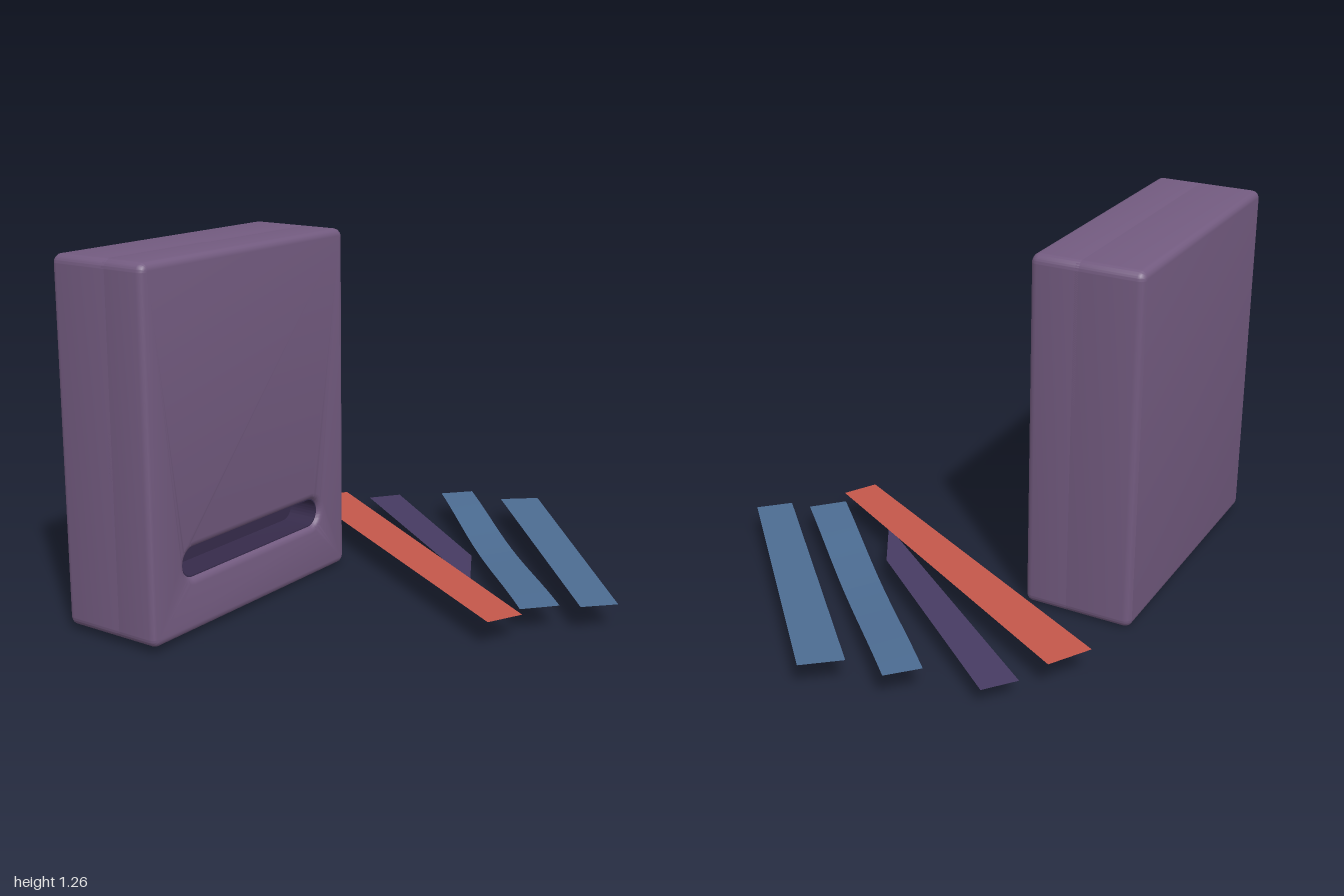
import * as THREE from 'three';
import { toCreasedNormals } from 'three/addons/utils/BufferGeometryUtils.js';

const mat = (name, color, side = THREE.FrontSide) => {
  const m = new THREE.MeshStandardMaterial({ color, side });
  m.name = name;
  return m;
};

// Rounded rectangle outline centred on (x, y); also gives the slot's stadium shape
function roundRect(Type, w, h, r, x = 0, y = 0) {
  const p = new Type();
  const a = w / 2 - r, b = h / 2 - r;
  p.absarc(x + a, y + b, r, 0, Math.PI / 2);
  p.absarc(x - a, y + b, r, Math.PI / 2, Math.PI);
  p.absarc(x - a, y - b, r, Math.PI, Math.PI * 1.5);
  p.absarc(x + a, y - b, r, Math.PI * 1.5, Math.PI * 2);
  p.closePath();
  return p;
}

// Paper strip between a far and a near edge, with a height rule along its length
function strip(name, [farL, farR, nearR, nearL], height, material) {
  const rows = 16, pos = [], idx = [];
  for (let i = 0; i <= rows; i++) {
    const t = i / rows;
    for (const [a, b] of [[farL, nearL], [farR, nearR]]) {
      pos.push(a[0] + (b[0] - a[0]) * t, height(t), a[1] + (b[1] - a[1]) * t);
    }
    if (i < rows) {
      const k = i * 2;
      idx.push(k, k + 2, k + 1, k + 1, k + 2, k + 3);
    }
  }
  const g = new THREE.BufferGeometry();
  g.setAttribute('position', new THREE.Float32BufferAttribute(pos, 3));
  g.setIndex(idx);
  g.computeVertexNormals();
  const mesh = new THREE.Mesh(g, material);
  mesh.name = name;
  return mesh;
}

export function createModel() {
  const model = new THREE.Group();
  const purple = mat('casePurple', 0x735b80);
  const slotDark = mat('slotDark', 0x362b4b);
  const red = mat('stripRed', 0xc4574a, THREE.DoubleSide);
  const violet = mat('stripViolet', 0x473b62, THREE.DoubleSide);
  const blue = mat('stripBlue', 0x4c6c92, THREE.DoubleSide);

  // Upright case, turned and very slightly leaning
  const W = 1.03, H = 1.24, D = 0.385, B = 0.025;
  const box = new THREE.Group();
  box.name = 'case';
  box.position.set(-0.433, 0.637, -0.345);
  box.rotation.set(-0.012, 0.3, -0.015);
  model.add(box);

  const add = (name, shape, z0, z1, bevel, material) => {
    const g = new THREE.ExtrudeGeometry(shape, {
      depth: z1 - z0 - 2 * bevel, curveSegments: 10, bevelEnabled: bevel > 0,
      bevelThickness: bevel, bevelSize: bevel, bevelOffset: -bevel, bevelSegments: 4,
    });
    g.translate(0, 0, z0 + bevel);
    const mesh = new THREE.Mesh(toCreasedNormals(g, 0.7), material);
    mesh.name = name;
    box.add(mesh);
  };

  const slotW = 0.72, slotH = 0.1, slotY = -0.382, floorZ = D / 2 - 0.13;
  const slot = (Type, inset) =>
    roundRect(Type, slotW - 2 * inset, slotH - 2 * inset, slotH / 2 - inset - 0.001, 0, slotY);

  // Front shell with the slot cut through, and the solid back shell behind it
  const front = roundRect(THREE.Shape, W, H, 0.03);
  front.holes.push(slot(THREE.Path, 0));
  add('frontShell', front, 0, D / 2, B, purple);
  add('backShell', roundRect(THREE.Shape, W, H, 0.03), -D / 2, floorZ, B, purple);

  // Dark slot lining and floor
  const lining = slot(THREE.Shape, -0.004);
  lining.holes.push(slot(THREE.Path, 0.002));
  add('slotLining', lining, floorZ - 0.002, D / 2 - 0.016, 0, slotDark);
  add('slotFloor', slot(THREE.Shape, 0), floorZ - 0.002, floorZ + 0.003, 0, slotDark);

  // Fan of paper strips: corners run far left, far right, near right, near left
  model.add(
    strip('redStrip', [[0.28, -0.765], [0.44, -0.73], [0.13, 0.628], [0, 0.605]],
      () => 0.1, red),
    strip('violetStrip', [[0.53, -0.695], [0.65, -0.65], [0.36, 0.12], [0.19, 0.305]],
      t => 0.066 + 0.032 * t, violet),
    strip('innerBlueStrip', [[0.73, -0.48], [0.845, -0.425], [0.29, 0.638], [0.165, 0.58]],
      t => 0.1 - 0.006 * t - 0.022 * Math.sin(Math.PI * t) ** 2, blue),
    strip('outerBlueStrip', [[0.87, -0.28], [0.995, -0.2], [0.44, 0.76], [0.325, 0.7]],
      () => 0.1, blue),
  );
  return model;
}
